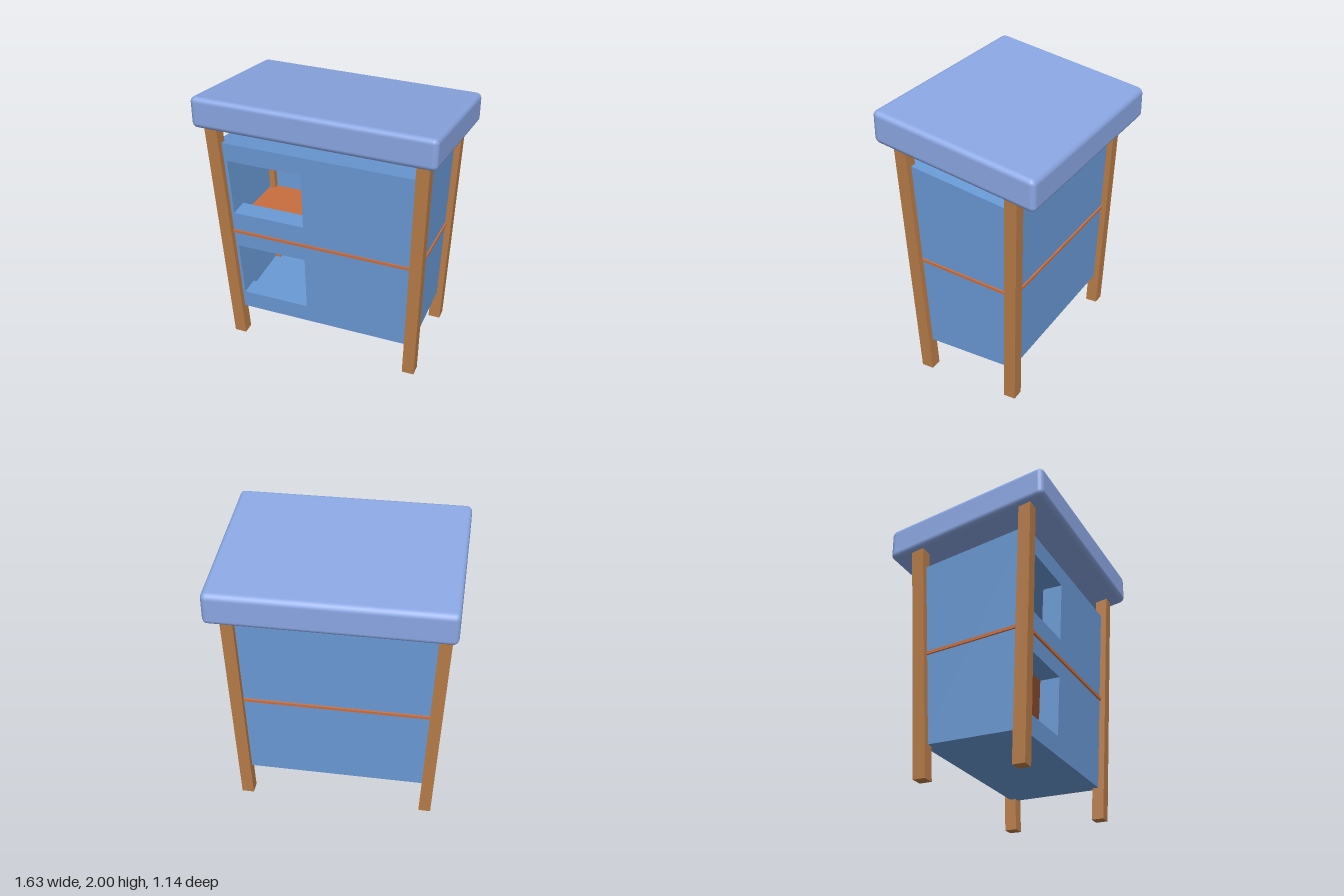
import * as THREE from 'three';
import { RoundedBoxGeometry } from 'three/addons/geometries/RoundedBoxGeometry.js';

const paint = (color, side = THREE.FrontSide) => new THREE.MeshStandardMaterial({ color, side });

// Centre line of a leg at height y; sx and sz (+1 or -1) choose the corner.
function corner(sx, sz, y) {
  const t = y / (sz > 0 ? 1.76 : 1.6);
  const x = sx > 0 ? 0.65 + 0.055 * t : -0.664 - 0.073 * t;
  const z = sz > 0 ? 0.348 + 0.079 * t : -0.328 - 0.047 * t;
  return new THREE.Vector3(x, y, z);
}

// Box whose eight corners are placed by a rule of their signs.
function shapedBox(rule, skipFront = false) {
  const box = new THREE.BoxGeometry(2, 2, 2);
  if (skipFront) {
    const index = Array.from(box.index.array);
    index.splice(24, 6);
    box.setIndex(index);
  }
  const geo = box.toNonIndexed();
  geo.clearGroups();
  const p = geo.attributes.position;
  for (let i = 0; i < p.count; i++) {
    const v = rule(Math.sign(p.getX(i)), Math.sign(p.getY(i)), Math.sign(p.getZ(i)));
    p.setXYZ(i, v.x, v.y, v.z);
  }
  geo.computeVertexNormals();
  return geo;
}

export function createModel() {
  const model = new THREE.Group();
  const wood = paint(0xb87c48);
  const blue = paint(0x6a9ad6, THREE.DoubleSide);
  const add = (name, geo, material) => {
    const mesh = new THREE.Mesh(geo, material);
    mesh.name = name;
    model.add(mesh);
    return mesh;
  };

  // Four splayed legs, their tops just inside the roof
  const half = 0.043;
  for (const sz of [1, -1]) {
    for (const sx of [1, -1]) {
      const name = (sz > 0 ? 'front' : 'back') + (sx > 0 ? 'Left' : 'Right') + 'Leg';
      add(name, shapedBox((a, b, c) => {
        const y = b < 0 ? 0 : (sz > 0 ? 1.775 : 1.62) + c * half * 0.18;
        return corner(sx, sz, y).add(new THREE.Vector3(a * half, 0, c * half));
      }), wood);
    }
  }

  // Hollow cabin: sides, back, floor and sloping top
  add('cabinWalls', shapedBox((a, b, c) =>
    corner(a, c, b < 0 ? 0.23 : c > 0 ? 1.62 : 1.487), true), blue);

  // Thick front wall with two windows
  const wall = new THREE.Shape();
  const outline = [[-1, 0.231], [1, 0.231], [1, 1.62], [-1, 1.62]]
    .map(([s, y]) => new THREE.Vector2(corner(s, 1, y).x - s * 0.003, y));
  wall.setFromPoints(outline);
  for (const [low, high] of [[0.365, 0.785], [1.065, 1.485]]) {
    const edge = (y) => -0.603 - 0.0386 * y;
    wall.holes.push(new THREE.Path([
      new THREE.Vector2(edge(low), low), new THREE.Vector2(edge(high), high),
      new THREE.Vector2(-0.13, high), new THREE.Vector2(-0.13, low),
    ]));
  }
  const depth = 0.14;
  const frontGeo = new THREE.ExtrudeGeometry(wall, { depth, bevelEnabled: false });
  const fp = frontGeo.attributes.position;
  for (let i = 0; i < fp.count; i++) {
    const y = fp.getY(i), back = fp.getZ(i) < depth / 2;
    fp.setZ(i, corner(1, 1, y).z - (back ? depth : 0));
    // the back of the top edge follows the sloping top
    if (back && y > 1.6) fp.setY(i, y - 0.027);
  }
  frontGeo.computeVertexNormals();
  add('frontWall', frontGeo, blue);

  // Middle floor, showing as a thin lip around the cabin
  const lip = 0.012;
  add('middleFloor', shapedBox((a, b, c) =>
    corner(a, c, (c > 0 ? 0.915 : 0.847) + b * 0.01)
      .add(new THREE.Vector3(a * lip, 0, c * lip))), paint(0xcc7040));

  // Rounded roof slab, sheared so it falls towards the back
  const roofGeo = new RoundedBoxGeometry(1.63, 0.22, 1.145, 3, 0.038);
  roofGeo.applyMatrix4(new THREE.Matrix4().set(
    1, 0, 0, 0,
    0, 1, 0.18, 0,
    0, 0, 1, 0,
    0, 0, 0, 1));
  add('roof', roofGeo, paint(0x8aa6e2)).position.set(0, 1.791, 0);

  return model;
}
